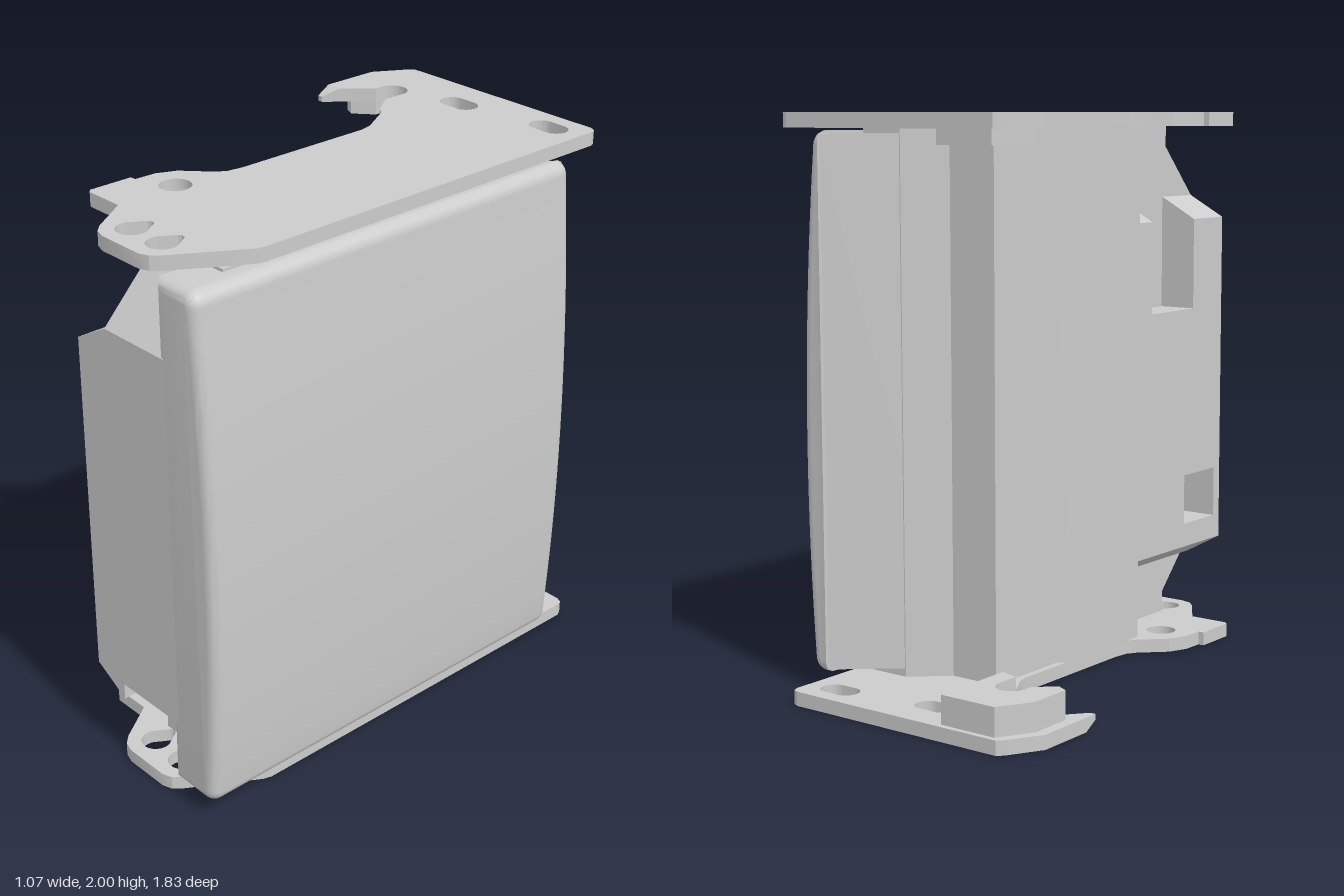
import * as THREE from 'three';
import { toCreasedNormals } from 'three/addons/utils/BufferGeometryUtils.js';

const material = new THREE.MeshStandardMaterial({ color: 0xcccccc });

const polygon = (pts) => new THREE.Shape(pts.map(([a, b]) => new THREE.Vector2(a, b)));

// Extrude an (x, z) shape upward from y0 to y1
function slab(shape, y0, y1) {
  const g = new THREE.ExtrudeGeometry(shape, { depth: y1 - y0, bevelEnabled: false, curveSegments: 12 });
  return g.rotateX(Math.PI / 2).translate(0, y1, 0);
}

// Extrude a (z, y) shape sideways from x0 to x1
function sideways(shape, x0, x1) {
  const g = new THREE.ExtrudeGeometry(shape, { depth: x1 - x0, bevelEnabled: false });
  return g.rotateY(-Math.PI / 2).translate(x1, 0, 0);
}

// Move every vertex by a rule
function reshape(g, rule) {
  const p = g.attributes.position;
  const v = new THREE.Vector3();
  for (let i = 0; i < p.count; i++) {
    rule(v.fromBufferAttribute(p, i));
    p.setXYZ(i, v.x, v.y, v.z);
  }
  g.computeVertexNormals();
  return g;
}

function slot(x0, x1, z, r) {
  const h = new THREE.Path();
  h.absarc(x1 - r, z, r, -Math.PI / 2, Math.PI / 2, false);
  h.absarc(x0 + r, z, r, Math.PI / 2, Math.PI * 1.5, false);
  return h;
}

function teardrop(x) {
  const h = new THREE.Path();
  h.absarc(x, 0.81, 0.053, -0.4, Math.PI + 0.4, false);
  h.absarc(x, 0.75, 0.02, Math.PI + 0.5, Math.PI * 2 - 0.5, false);
  return h;
}

// Rounded slot of the hook, shared by plate and hook block
const hookNotch = (s) => s.absarc(-0.335, -0.69, 0.055, 0, -Math.PI, true);

function plateShape() {
  const s = polygon([
    [-0.54, -0.56], [-0.54, -0.78], [-0.47, -0.9], [-0.45, -0.92], [0.415, -0.92], [0.436, -0.911], [0.445, -0.89],
    [0.445, 0.6], [0.437, 0.63], [0.29, 0.87], [0.265, 0.9], [0.23, 0.913], [0.05, 0.913], [0.01, 0.9], [-0.02, 0.87],
    [-0.115, 0.727], [-0.265, 0.727], [-0.28, 0.715], [-0.28, 0.55], [-0.258, 0.55], [-0.255, 0.47], [-0.225, 0.4],
    [-0.135, 0.315], [-0.113, 0.28], [-0.105, 0.22], [-0.105, -0.32], [-0.115, -0.365], [-0.19, -0.495],
    [-0.215, -0.51], [-0.28, -0.6],
  ]);
  hookNotch(s);
  s.lineTo(-0.39, -0.66);
  s.lineTo(-0.478, -0.56);
  s.lineTo(-0.52, -0.51);
  s.lineTo(-0.54, -0.51);
  s.closePath();
  const round = new THREE.Path();
  round.absarc(-0.13, 0.485, 0.055, 0, Math.PI * 2, false);
  s.holes.push(slot(-0.148, 0.006, -0.765, 0.046), slot(0.235, 0.387, -0.817, 0.046), round,
    teardrop(0.065), teardrop(0.215));
  return s;
}

function hookBlockShape() {
  const s = polygon([[-0.5, -0.78], [-0.43, -0.9], [-0.21, -0.9], [-0.21, -0.58], [-0.28, -0.6]]);
  hookNotch(s);
  s.lineTo(-0.39, -0.66);
  s.lineTo(-0.46, -0.6);
  s.lineTo(-0.5, -0.62);
  s.closePath();
  return s;
}

// Mounting plate; the hook tip is thinned on its outer face
function plate(y0, outerY) {
  const g = reshape(slab(plateShape(), y0, y0 + 0.05), (v) => {
    if (v.z > -0.53 && v.z < -0.5 && v.x < -0.5 && Math.abs(v.y - outerY) < 0.01) v.y += outerY > 1 ? -0.03 : 0.03;
  });
  return toCreasedNormals(g, 0.4);
}

// Cover with a bulging outer face and rounded edges
function coverGeometry() {
  const [x0, y0, y1, r] = [0.29, 0.07, 1.94, 0.05];
  const bulge = (y) => 0.533 - 0.049 * (y - 0.85) ** 2;
  const s = new THREE.Shape();
  s.moveTo(x0, y0);
  s.lineTo(bulge(y0) - r, y0);
  s.absarc(bulge(y0 + r) - r, y0 + r, r, -Math.PI / 2, 0, false);
  for (let i = 1; i < 20; i++) {
    const y = y0 + r + ((y1 - y0 - 2 * r) * i) / 20;
    s.lineTo(bulge(y), y);
  }
  s.absarc(bulge(y1 - r) - r, y1 - r, r, 0, Math.PI / 2, false);
  s.lineTo(x0, y1);
  s.closePath();
  const b = 0.04;
  const g = new THREE.ExtrudeGeometry(s, {
    depth: 1.66 - 2 * b, bevelThickness: b, bevelSize: b, bevelOffset: -b, bevelSegments: 6, curveSegments: 8,
  });
  g.translate(0, 0, -0.75 + b);
  // The rear end of the cover is shallower
  reshape(g, (v) => { if (v.z < -0.3) v.x = Math.max(v.x, 0.44); });
  return toCreasedNormals(g, 0.6);
}

// Side wall with an open pocket, a small window and sloped top and bottom
function sideBlockGeometry() {
  const s = polygon([
    [0.35, 0.34], [0.91, 0.34], [0.91, 1.6], [0.71, 1.6], [0.71, 1.26], [0.43, 1.26], [0.43, 1.6], [0.35, 1.6],
  ]);
  s.holes.push(polygon([[0.66, 0.43], [0.66, 0.62], [0.87, 0.62], [0.87, 0.43]]));
  return reshape(sideways(s, -0.115, 0.03), (v) => {
    if (v.x > 0 && v.y > 1.5) v.y += 0.08;
    if (v.x > 0 && v.y < 0.4) v.y -= 0.08;
  });
}

export function createModel() {
  const model = new THREE.Group();
  const add = (name, geometry) => {
    const mesh = new THREE.Mesh(geometry, material);
    mesh.name = name;
    model.add(mesh);
  };

  // Plates and hooks
  add('bottomPlate', plate(0, 0));
  add('topPlate', plate(1.95, 2));
  add('bottomHookBlock', toCreasedNormals(slab(hookBlockShape(), 0.05, 0.15), 0.4));
  add('topHookBlock', toCreasedNormals(slab(hookBlockShape(), 1.9, 1.95), 0.4));

  // Housing between the plates
  add('bodyCore', slab(polygon([
    [0.235, -0.565], [0.11, -0.455], [-0.08, -0.455], [-0.08, -0.115], [-0.115, -0.07], [-0.115, 0.35],
    [0.03, 0.35], [0.03, 0.73], [0.4, 0.73], [0.4, -0.565],
  ]), 0.05, 1.95));
  add('coverBacking', slab(polygon([
    [0.445, -0.74], [0.11, -0.455], [0.11, 0.7], [0.445, 0.7],
  ]), 0.08, 1.93));
  add('frontWedge', sideways(polygon([
    [0.6, 0.13], [0.73, 0.13], [0.91, 0.32], [0.91, 1.68], [0.73, 1.87], [0.6, 1.87],
  ]), 0.03, 0.33));
  add('sideBlock', sideBlockGeometry());
  add('cover', coverGeometry());
  return model;
}
